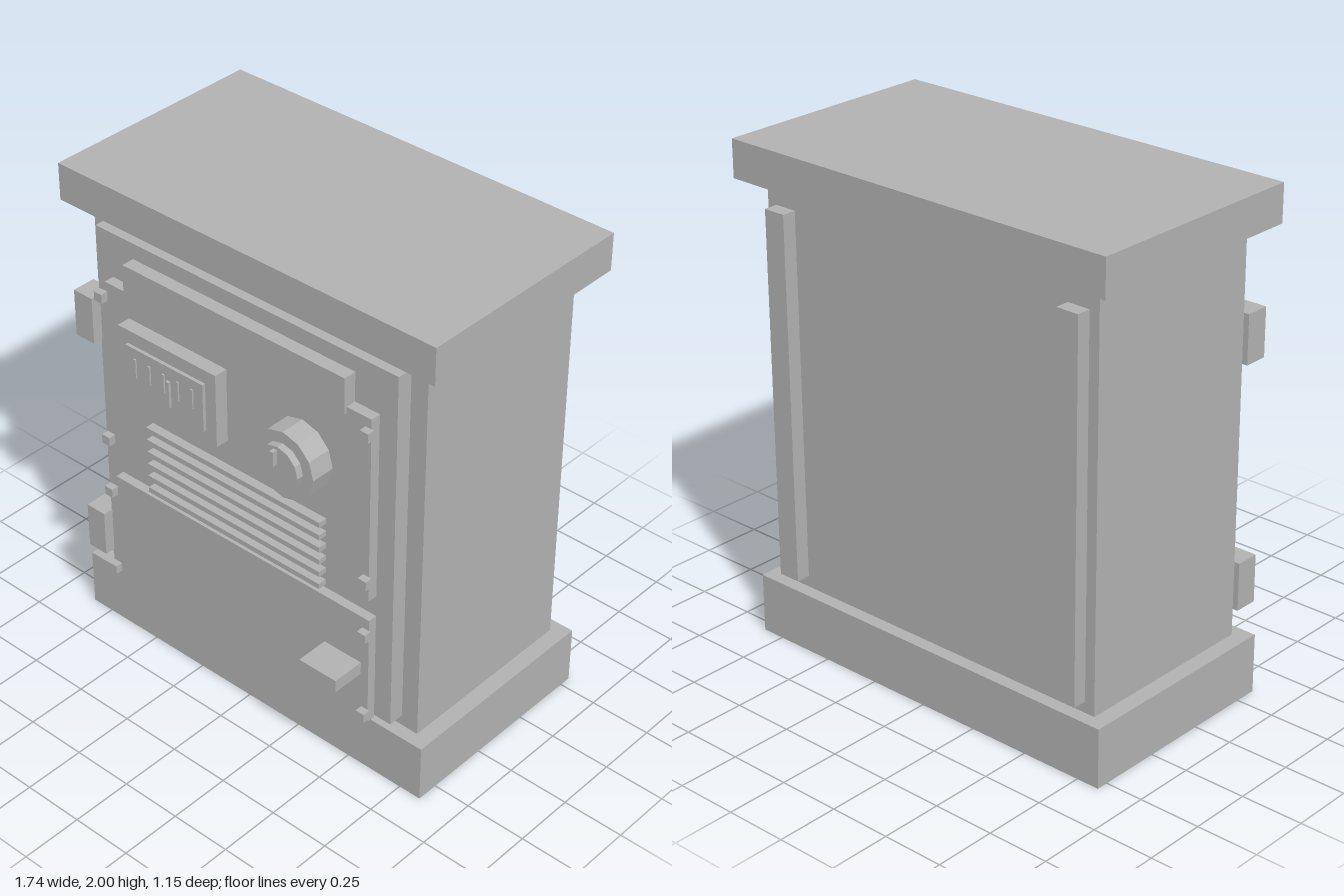
import * as THREE from 'three';

export function createModel() {
  const model = new THREE.Group();
  model.name = 'controlCabinet';
  const grey = new THREE.MeshStandardMaterial({ color: 0xb2b2b2, flatShading: true });
  grey.name = 'plain grey';

  function add(name, geometry, x, y, z) {
    const mesh = new THREE.Mesh(geometry, grey);
    mesh.name = name;
    mesh.position.set(x, y, z);
    model.add(mesh);
    return mesh;
  }
  // box given by its extents along each axis
  function box(name, x0, x1, y0, y1, z0, z1) {
    return add(name, new THREE.BoxGeometry(x1 - x0, y1 - y0, z1 - z0),
      (x0 + x1) / 2, (y0 + y1) / 2, (z0 + z1) / 2);
  }
  // disc facing the front
  function disc(name, r, x, y, z0, z1) {
    const geometry = new THREE.CylinderGeometry(r, r, z1 - z0, 12).rotateX(Math.PI / 2);
    return add(name, geometry, x, y, (z0 + z1) / 2);
  }

  // cabinet shell
  box('base', -0.845, 0.845, 0, 0.24, -0.548, 0.34);
  box('body', -0.78, 0.78, 0.24, 1.85, -0.495, 0.285);
  box('cap', -0.87, 0.87, 1.85, 2, -0.575, 0.363);
  box('frontFrame', -0.707, 0.707, 0.285, 1.805, 0.285, 0.35);

  // rear rails
  for (const s of [-1, 1]) {
    box('rearRail', s * 0.69 - 0.047, s * 0.69 + 0.047, 0.285, 1.76, -0.552, -0.495);
  }

  // doors and the visor above them
  box('upperDoor', -0.63, 0.63, 0.84, 1.62, 0.35, 0.392);
  box('lowerDoor', -0.63, 0.63, 0.275, 0.75, 0.35, 0.387);
  box('visor', -0.523, 0.52, 1.595, 1.74, 0.35, 0.403);
  box('handle', 0.422, 0.595, 0.485, 0.538, 0.387, 0.522);

  // hinges on one side
  for (const y of [0.437, 1.417]) {
    box('hinge', -0.795, -0.704, y - 0.097, y + 0.097, 0.295, 0.393);
  }

  // corner bolts of both doors
  for (const y of [0.33, 0.7, 0.94, 1.57]) {
    for (const x of [-0.63, 0.63]) {
      box('bolt', x - 0.019, x + 0.019, y - 0.019, y + 0.019, 0.4, 0.43);
    }
  }

  // gauge with scale marks and needle
  box('gaugeHousing', -0.513, -0.035, 1.21, 1.515, 0.392, 0.448);
  box('gaugeFace', -0.465, -0.085, 1.26, 1.46, 0.448, 0.462);
  for (let i = 0; i < 5; i++) {
    const x = -0.415 + i * 0.07;
    box('gaugeMark', x - 0.005, x + 0.005, 1.34, 1.42, 0.46, 0.469);
  }
  box('gaugeNeedle', -0.248, -0.233, 1.3, 1.41, 0.47, 0.481);

  // rotary dial
  disc('dialRing', 0.138, 0.345, 1.36, 0.418, 0.517);
  disc('dialKnob', 0.092, 0.345, 1.36, 0.517, 0.545);
  box('dialPointer', 0.337, 0.353, 1.388, 1.447, 0.555, 0.575);

  // ventilation slats
  for (let i = 0; i < 6; i++) {
    const y = 0.832 + i * 0.0543;
    box('ventSlat', -0.402, 0.44, y - 0.011, y + 0.011, 0.402, 0.438);
  }

  return model;
}
